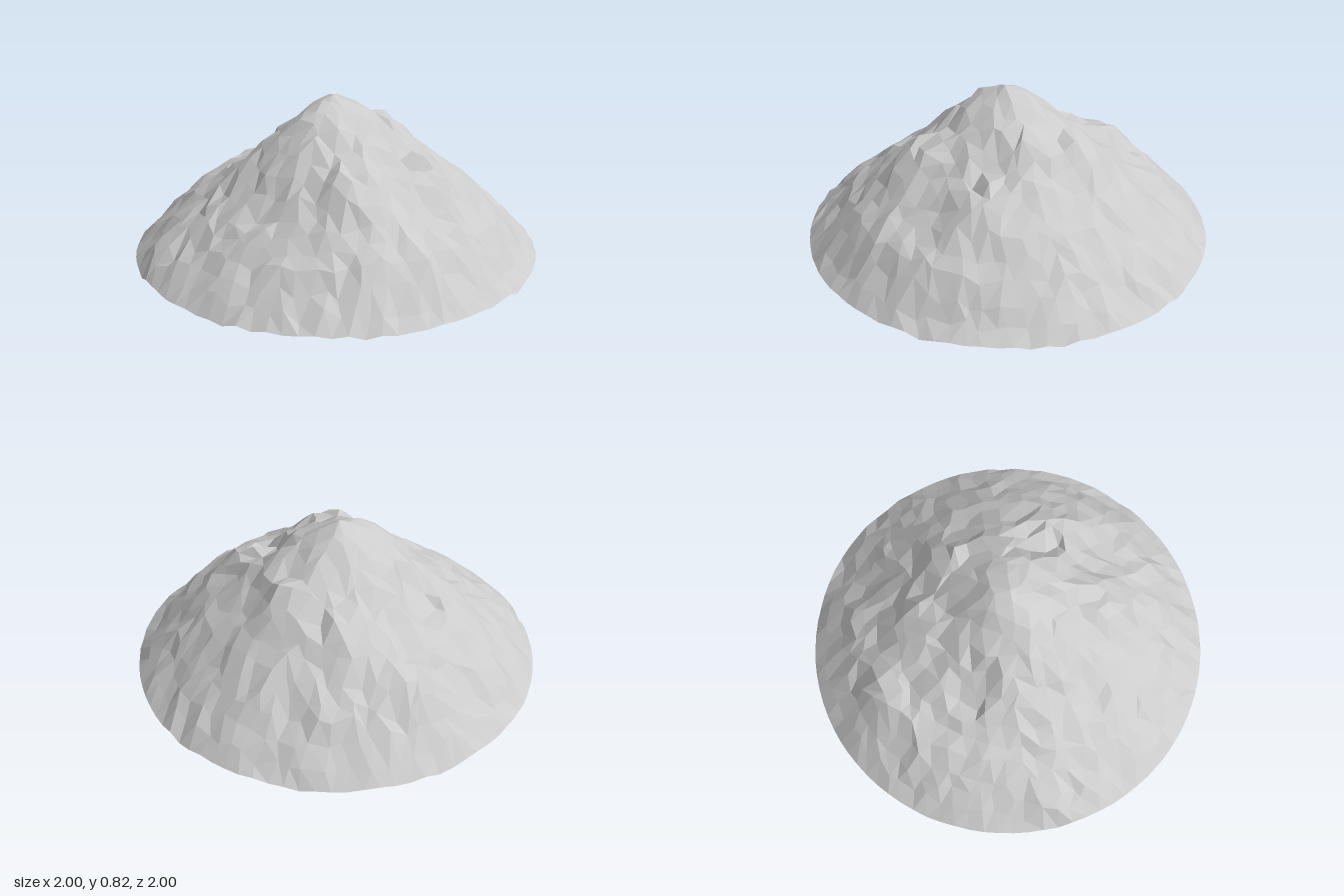
import * as THREE from 'three';

const RINGS = 14;

// Slope heights at radius 0, 0.1 ... 1 toward +z, +x, -z and -x
const slopes = [
  [0.81, 0.76, 0.69, 0.61, 0.54, 0.47, 0.43, 0.33, 0.25, 0.11, 0.015],
  [0.81, 0.78, 0.72, 0.64, 0.58, 0.49, 0.40, 0.30, 0.21, 0.11, 0.015],
  [0.81, 0.79, 0.69, 0.60, 0.52, 0.44, 0.35, 0.32, 0.23, 0.12, 0.015],
  [0.81, 0.79, 0.73, 0.65, 0.54, 0.45, 0.36, 0.28, 0.19, 0.11, 0.015],
];

// Rock ledges (positive) and gullies (negative): x, z, radius, height
const features = [
  [-0.24, 0.40, 0.17, 0.07], [0.16, 0.33, 0.11, -0.05], [0.0, 0.62, 0.16, -0.04],
  [0.27, 0.45, 0.13, 0.04], [0.22, -0.42, 0.16, 0.04], [0.38, -0.12, 0.14, 0.04],
  [-0.22, -0.36, 0.14, -0.04], [-0.55, 0.08, 0.12, -0.03], [-0.80, -0.32, 0.13, 0.04],
  [0.48, 0.1, 0.12, -0.03], [0.1, -0.68, 0.16, 0.04], [0.62, -0.45, 0.13, -0.03],
];

function seeded(seed) {
  return () => {
    seed = (seed * 16807) % 2147483647;
    return seed / 2147483647;
  };
}

function alongSlope(slope, r) {
  const i = Math.min(9, Math.floor(r * 10));
  return THREE.MathUtils.lerp(slope[i], slope[i + 1], r * 10 - i);
}

// Blend the two nearest slopes, then add the rock features
function heightAt(x, z) {
  const r = Math.min(1, Math.hypot(x, z));
  const turn = (Math.atan2(x, z) / (Math.PI / 2) + 4) % 4;
  const i = Math.floor(turn);
  let y = THREE.MathUtils.lerp(
    alongSlope(slopes[i], r),
    alongSlope(slopes[(i + 1) % 4], r),
    THREE.MathUtils.smoothstep(turn - i, 0, 1)
  );
  for (const [fx, fz, radius, height] of features) {
    const d = Math.hypot(x - fx, z - fz) / radius;
    y += height * (1 - THREE.MathUtils.smoothstep(d, 0.5, 1));
  }
  return y;
}

// Faceted disc of jittered rings, six more points on each ring
function moundGeometry() {
  const random = seeded(7331);
  const jitter = (amount) => (random() - 0.5) * 2 * amount;
  const positions = [-0.02, 0.82, 0.0];
  const indices = [];

  for (let k = 1; k <= RINGS; k++) {
    const count = 6 * k;
    const rim = k === RINGS;
    for (let j = 0; j < count; j++) {
      const loose = rim ? 0 : 1;
      const angle = ((j + jitter(0.33) * loose) / count) * Math.PI * 2;
      const r = (k + jitter(0.33) * loose) / RINGS;
      const x = r * Math.sin(angle);
      const z = r * Math.cos(angle);
      const rough = k < 3 ? 0.006 : 0.017;
      const y = rim ? (j % 9 === 4 ? 0 : 0.006 + random() * 0.018)
        : heightAt(x, z) + jitter(rough);
      positions.push(x, y, z);
    }
  }

  const at = (k, j) => (k === 0 ? 0 : 1 + 3 * k * (k - 1) + (j % (6 * k)));
  for (let k = 1; k <= RINGS; k++) {
    for (let s = 0; s < 6; s++) {
      for (let j = 0; j < k; j++) {
        const outer = s * k + j;
        const inner = s * (k - 1) + j;
        indices.push(at(k - 1, inner), at(k, outer), at(k, outer + 1));
        if (j < k - 1) indices.push(at(k - 1, inner), at(k, outer + 1), at(k - 1, inner + 1));
      }
    }
  }

  const geometry = new THREE.BufferGeometry();
  geometry.setAttribute('position', new THREE.Float32BufferAttribute(positions, 3));
  geometry.setIndex(indices);
  const faceted = geometry.toNonIndexed();
  faceted.computeVertexNormals();
  return faceted;
}

export function createModel() {
  const group = new THREE.Group();
  group.name = 'rockyHill';

  // Open shell, hollow underneath
  const material = new THREE.MeshStandardMaterial({
    color: 0xcccccc,
    flatShading: true,
    side: THREE.DoubleSide,
  });
  const mound = new THREE.Mesh(moundGeometry(), material);
  mound.name = 'mound';
  group.add(mound);
  return group;
}
